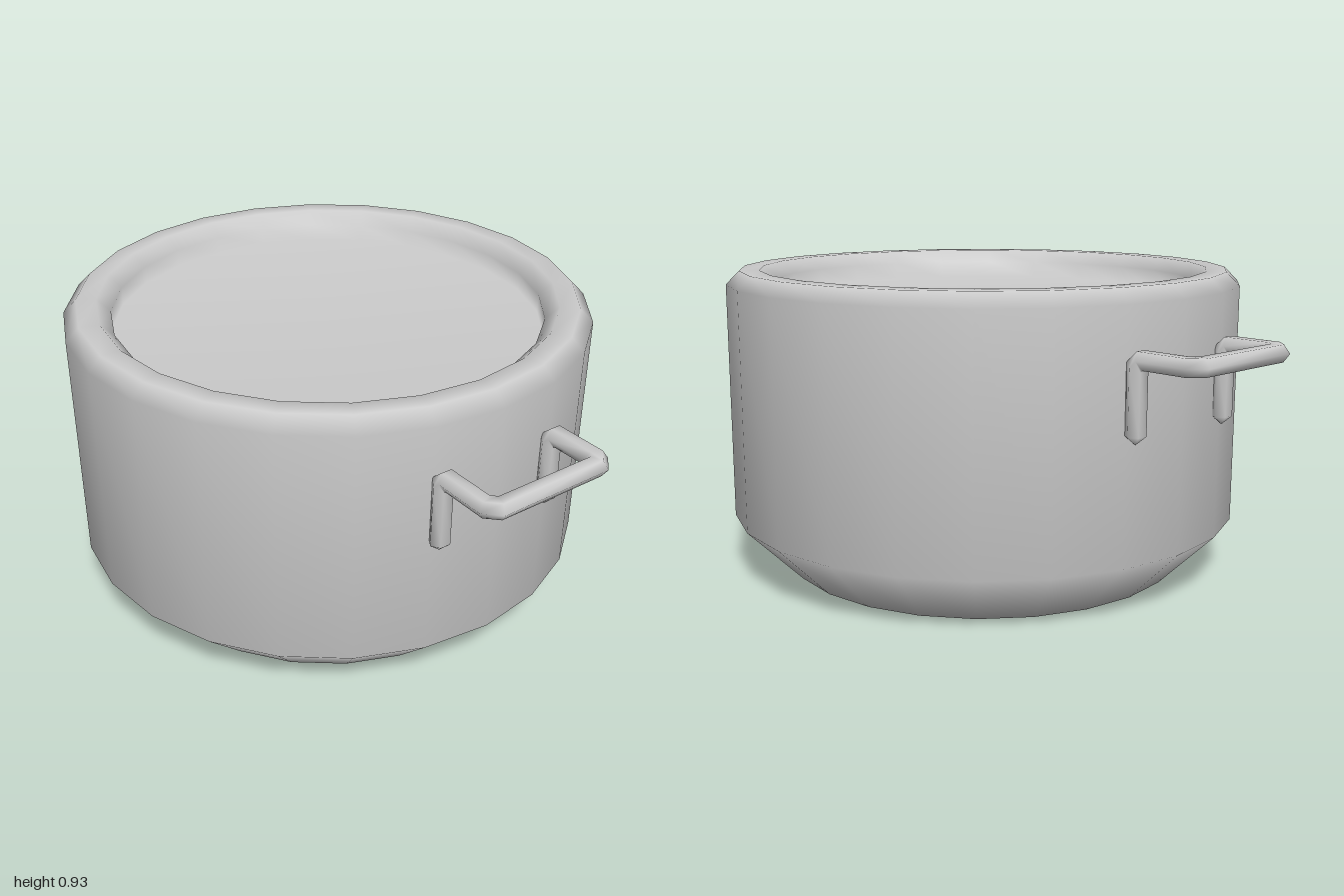
import * as THREE from 'three';

const material = new THREE.MeshStandardMaterial({ color: 0xcccccc });

// Six-sided bar swept along a polyline with mitred corners and blunt pointed ends
function mitredBar(path, tip, sides = 6) {
  const dirs = path.slice(1).map((p, i) => p.clone().sub(path[i]).normalize());
  const positions = [], index = [];
  let ring = [];
  for (let j = 0; j < sides; j++) {
    const a = (j / sides) * Math.PI * 2;
    ring.push(path[0].clone().add(new THREE.Vector3(0.028 * Math.sin(a), 0, 0.032 * Math.cos(a))));
  }
  path.forEach((p, i) => {
    if (i > 0) {
      const d = dirs[i - 1];
      const normal = d.clone().add(dirs[i] || d).normalize();
      // slide each corner along the bar until it meets the mitre plane
      ring = ring.map(v => v.clone().addScaledVector(d, p.clone().sub(v).dot(normal) / d.dot(normal)));
    }
    ring.forEach(v => positions.push(v.x, v.y, v.z));
  });
  const last = (path.length - 1) * sides;
  const startTip = path.length * sides;
  for (const [p, d, s] of [[path[0], dirs[0], -tip], [path[path.length - 1], dirs[dirs.length - 1], tip]]) {
    const v = p.clone().addScaledVector(d, s);
    positions.push(v.x, v.y, v.z);
  }
  for (let j = 0; j < sides; j++) {
    const k = (j + 1) % sides;
    for (let i = 0; i < last; i += sides) {
      index.push(i + j, i + k, i + sides + j, i + k, i + sides + k, i + sides + j);
    }
    index.push(startTip, k, j, startTip + 1, last + j, last + k);
  }
  const geometry = new THREE.BufferGeometry();
  geometry.setAttribute('position', new THREE.Float32BufferAttribute(positions, 3));
  geometry.setIndex(index);
  geometry.computeVertexNormals();
  return geometry;
}

export function createModel() {
  const model = new THREE.Group();

  // Pot: chamfered base, straight wall, bevelled thick rim and inner surface
  const profile = [
    [0, 0], [0.62, 0], [0.79, 0.17], [0.79, 0.885], [0.75, 0.925],
    [0.69, 0.925], [0.65, 0.885], [0.65, 0.83], [0, 0.83],
  ].map(([r, y]) => new THREE.Vector2(r, y));
  const pot = new THREE.Mesh(new THREE.LatheGeometry(profile, 24), material);
  pot.name = 'potBody';
  model.add(pot);

  // Handles: two legs on the wall, two arms and an outer grip
  const half = [
    [0.783, 0.54, -0.19], [0.783, 0.725, -0.19], [0.803, 0.743, -0.19],
    [0.945, 0.743, -0.19], [0.97, 0.743, -0.165],
  ].map(p => new THREE.Vector3(...p));
  const mirrored = half.map(p => new THREE.Vector3(p.x, p.y, -p.z)).reverse();
  const handleGeometry = mitredBar([...half, ...mirrored], 0.025);
  ['leftHandle', 'rightHandle'].forEach((name, i) => {
    const handle = new THREE.Mesh(handleGeometry, material);
    handle.name = name;
    handle.rotation.y = i * Math.PI;
    model.add(handle);
  });

  return model;
}
